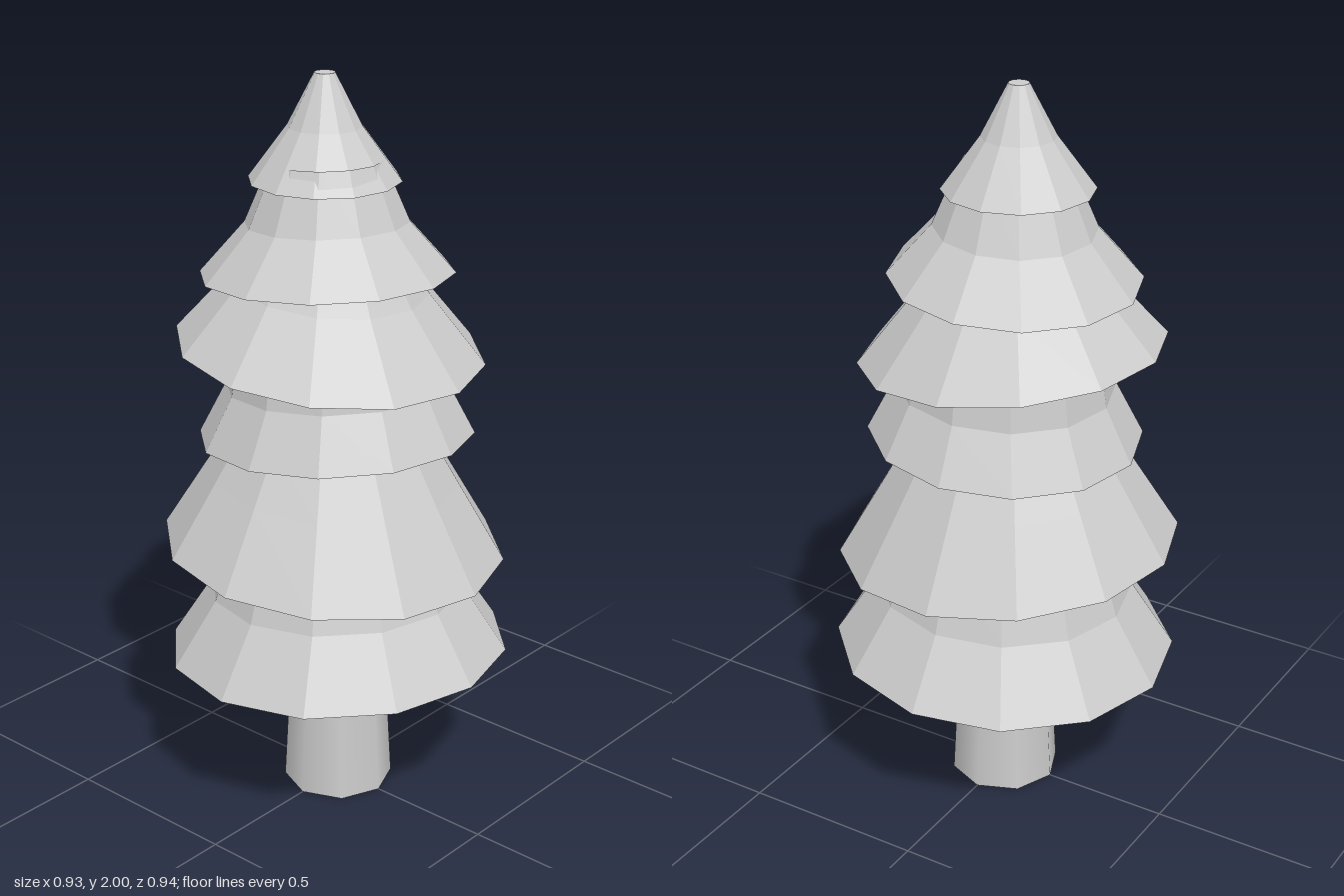
import * as THREE from 'three';

const grey = (opts = {}) => new THREE.MeshStandardMaterial({ color: 0xcccccc, ...opts });

// Each tier: centre, uneven tilt (rise of y per unit of x and z), profile of [radius, height]
const TIERS = [
  { x: 0, z: 0, tiltX: 0.038, tiltZ: 0, turn: 0, profile: [[0.465, 0.42], [0.348, 0.6], [0.285, 0.8]] },
  { x: -0.005, z: 0.012, tiltX: -0.07, tiltZ: 0.02, turn: 4, profile: [[0.46, 0.727], [0.337, 0.93], [0.25, 1.075]] },
  { x: 0.008, z: 0.016, tiltX: 0.062, tiltZ: 0.02, turn: 4, profile: [[0.366, 1.048], [0.292, 1.19], [0.27, 1.34]] },
  { x: -0.01, z: 0.02, tiltX: -0.1, tiltZ: 0.012, turn: 4, profile: [[0.406, 1.287], [0.258, 1.46], [0.2, 1.55]] },
  { x: -0.014, z: 0.027, tiltX: 0.058, tiltZ: 0.03, turn: 4, profile: [[0.332, 1.488], [0.213, 1.622], [0.145, 1.78]] },
  { x: -0.03, z: 0.016, tiltX: 0, tiltZ: 0, turn: 3, profile: [[0.198, 1.728], [0.097, 1.865], [0.027, 2]] },
];

// Open twelve-sided skirt, sheared so that its rim sits crooked
function makeTier({ x, z, tiltX, tiltZ, turn, profile }) {
  const points = profile.map(([r, y]) => new THREE.Vector2(r, y));
  const geometry = new THREE.LatheGeometry(points, 12);
  geometry.rotateY(THREE.MathUtils.degToRad(turn));
  const pos = geometry.attributes.position;
  for (let i = 0; i < pos.count; i++) {
    pos.setY(i, pos.getY(i) + tiltX * pos.getX(i) + tiltZ * pos.getZ(i));
  }
  geometry.translate(x, 0, z);
  geometry.computeVertexNormals();
  return new THREE.Mesh(geometry, grey({ flatShading: true, side: THREE.DoubleSide }));
}

export function createModel() {
  const tree = new THREE.Group();
  tree.name = 'pineTree';

  // Tapered trunk running up inside the branches
  const trunk = new THREE.Mesh(new THREE.CylinderGeometry(0.06, 0.15, 1.7, 8), grey());
  trunk.position.y = 0.85;
  trunk.name = 'trunk';
  tree.add(trunk);

  // Branch tiers from bottom to top
  TIERS.forEach((tier, i) => {
    const mesh = makeTier(tier);
    mesh.name = `branchTier${i + 1}`;
    tree.add(mesh);
  });

  // Small cap closing the tip
  const tip = new THREE.Mesh(new THREE.CircleGeometry(0.027, 12), grey());
  tip.rotation.x = -Math.PI / 2;
  tip.position.set(-0.03, 2, 0.016);
  tip.name = 'tipCap';
  tree.add(tip);

  return tree;
}
